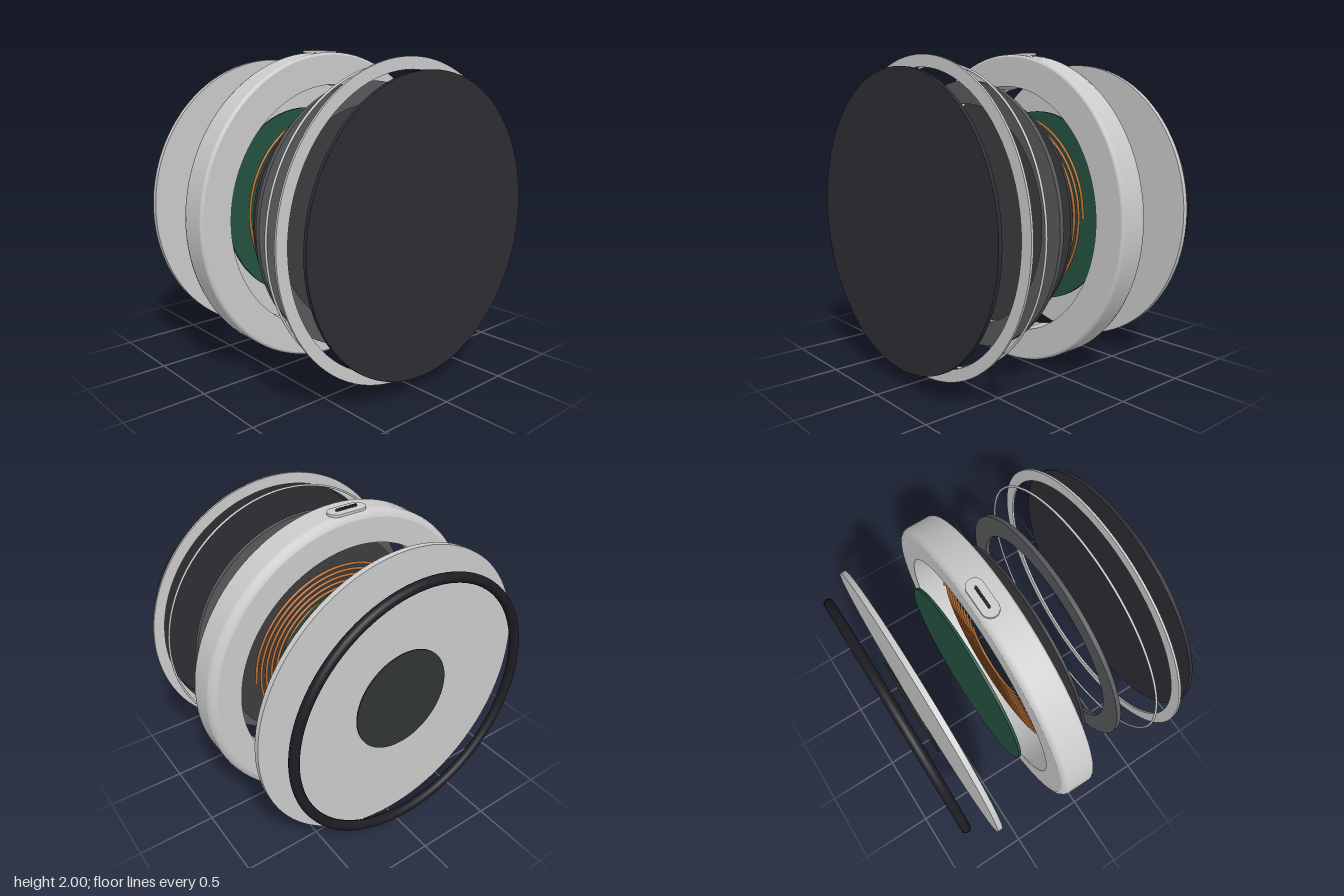
import * as THREE from 'three';

const CY = 0.99; // height of the shared axis
const SEG = 96;

const mat = (color, side = THREE.FrontSide) =>
  new THREE.MeshStandardMaterial({ color, side, roughness: 0.7 });

export function createModel() {
  const model = new THREE.Group();
  // all layers share one axis along z
  const stack = new THREE.Group();
  stack.name = 'layerStack';
  stack.position.y = CY;
  model.add(stack);

  const grey = mat(0xcccccc);
  const black = mat(0x1d1c22);
  const dark = mat(0x2e2d33);

  const add = (name, geometry, material, parent = stack) => {
    const mesh = new THREE.Mesh(geometry, material);
    mesh.name = name;
    parent.add(mesh);
    return mesh;
  };

  // flat disc between two depths
  const disc = (name, r, z0, z1, material) => {
    const g = new THREE.CylinderGeometry(r, r, z1 - z0, SEG);
    g.rotateX(Math.PI / 2);
    g.translate(0, 0, (z0 + z1) / 2);
    return add(name, g, material);
  };

  // revolved closed profile of [radius, z]; each segment keeps its own normals
  const revolve = (name, profile, material) => {
    const group = new THREE.Group();
    group.name = name;
    stack.add(group);
    profile.forEach((run, i) => {
      const g = new THREE.LatheGeometry(run.map(([r, z]) => new THREE.Vector2(r, z)), SEG);
      g.rotateX(Math.PI / 2);
      add(name + 'Surface' + (i + 1), g, material, group);
    });
    return group;
  };

  // plain flat ring: inner wall, back, outer wall, front
  const ring = (name, ri, ro, z0, z1, material) => revolve(name, [
    [[ri, z1], [ri, z0]],
    [[ri, z0], [ro, z0]],
    [[ro, z0], [ro, z1]],
    [[ro, z1], [ri, z1]],
  ], material);

  // front cover, trim ring and light ring
  disc('topPad', 0.885, 0.802, 0.825, dark);
  ring('trimRing', 0.885, 0.957, 0.664, 0.678, grey);
  const light = add('lightRing', new THREE.TorusGeometry(0.912, 0.007, 10, SEG), mat(0xf4f4f4));
  light.position.z = 0.532;

  // magnet ring and shielding disc
  ring('magnetRing', 0.68, 0.82, 0.312, 0.34, mat(0x57595a));
  disc('shieldDisc', 0.715, 0.13, 0.148, mat(0x3c3c3f));

  // main housing ring: eased front edge, wider rounded back edge
  revolve('housing', [
    [[0.79, 0.02], [0.79, -0.19]],
    [[0.79, -0.19], [0.945, -0.19]],
    [[0.945, -0.19], [0.966, -0.182], [0.981, -0.167], [0.988, -0.145]],
    [[0.988, -0.145], [0.988, 0.005]],
    [[0.988, 0.005], [0.984, 0.015], [0.972, 0.02]],
    [[0.972, 0.02], [0.79, 0.02]],
  ], grey);

  // flat copper spiral
  const turns = 10, steps = turns * 24, coilPoints = [];
  for (let i = 0; i <= steps; i++) {
    const a = (i / 24) * Math.PI * 2;
    const r = 0.62 - 0.036 * (i / 24);
    coilPoints.push(new THREE.Vector3(Math.cos(a) * r, Math.sin(a) * r, -0.06));
  }
  add('copperCoil', new THREE.TubeGeometry(
    new THREE.CatmullRomCurve3(coilPoints), turns * 72, 0.009, 8), mat(0xb06a32));

  // circuit board with chips on its front
  disc('circuitBoard', 0.633, -0.285, -0.268, mat(0x24523f));
  const chips = [ // x, y, width, height, depth
    [-0.13, 0.055, 0.14, 0.15, 0.03],
    [0.115, -0.045, 0.1, 0.14, 0.022],
    [0.19, 0.09, 0.06, 0.14, 0.015],
  ];
  chips.forEach(([x, y, w, h, d], i) => {
    add('chip' + (i + 1), new THREE.BoxGeometry(w, h, d), black)
      .position.set(x, y, -0.268 + d / 2);
  });

  // back plate, small round sheet with a stud, rubber foot ring
  disc('backPlate', 0.945, -0.64, -0.607, grey);
  disc('backLabel', 0.333, -0.689, -0.682, mat(0x303432));
  disc('labelStud', 0.05, -0.682, -0.677, mat(0x303432));
  add('rubberFoot', new THREE.TorusGeometry(0.82, 0.03, 20, SEG), black).position.z = -0.792;

  // connector on the top of the housing: pill-shaped rim and pin row
  const port = new THREE.Group();
  port.name = 'connector';
  port.position.set(0, 1.972, -0.118);
  model.add(port);
  const pill = (halfLength, r, height) => {
    const s = new THREE.Shape();
    const c = halfLength - r;
    s.absarc(c, 0, r, -Math.PI / 2, Math.PI / 2);
    s.absarc(-c, 0, r, Math.PI / 2, Math.PI * 1.5);
    s.closePath();
    const g = new THREE.ExtrudeGeometry(s, { depth: height, bevelEnabled: false, curveSegments: 20 });
    g.rotateX(-Math.PI / 2);
    return g;
  };
  add('connectorRim', pill(0.125, 0.052, 0.015), grey, port);
  add('connectorTongue', pill(0.072, 0.007, 0.024), dark, port);
  for (let i = 0; i < 8; i++) {
    add('pin' + (i + 1), new THREE.CylinderGeometry(0.008, 0.008, 0.028, 12), dark, port)
      .position.set(-0.063 + i * 0.018, 0.014, 0);
  }

  return model;
}
